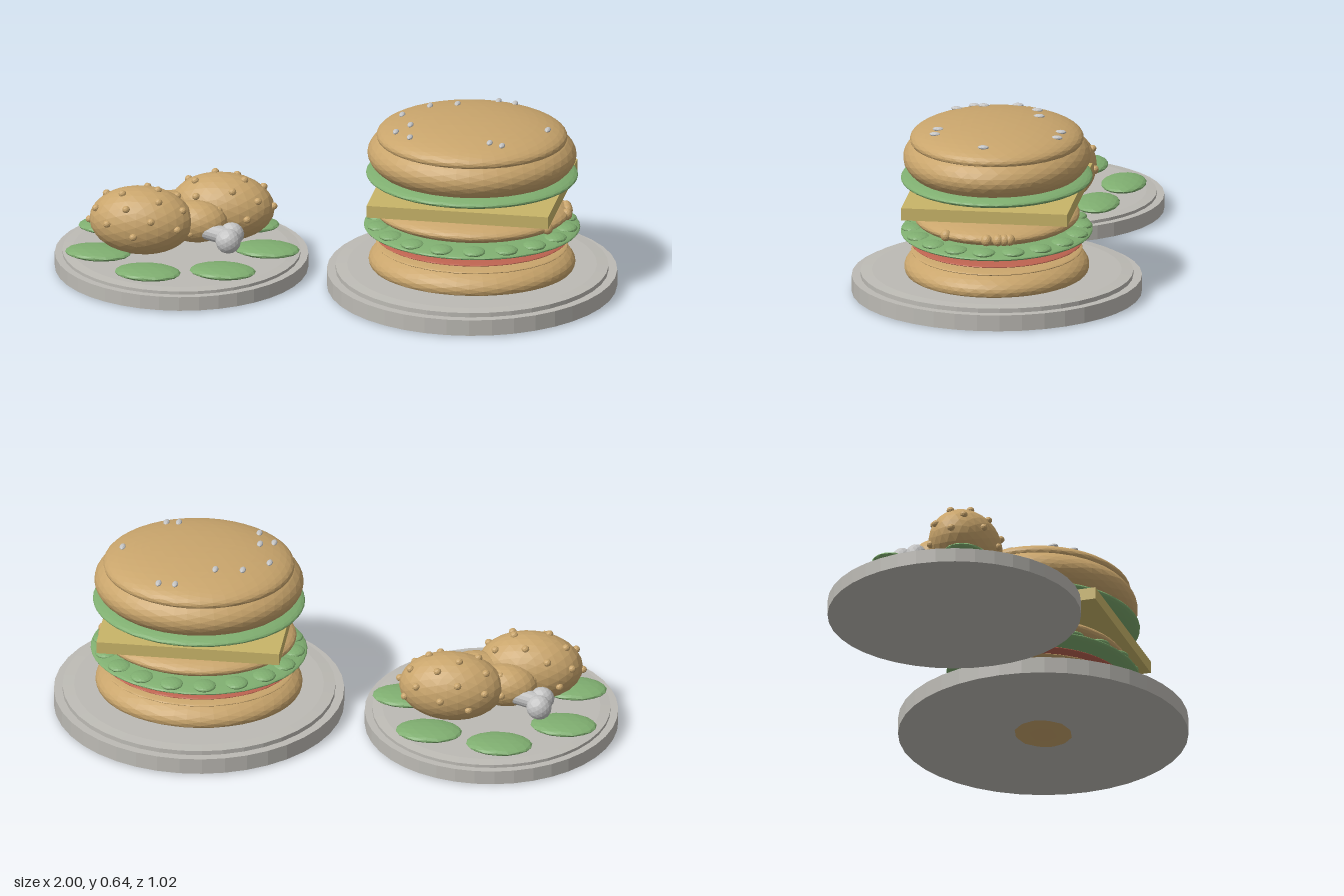
import * as THREE from 'three';

const mat = (name, color) => {
  const m = new THREE.MeshStandardMaterial({ color, flatShading: true });
  m.name = name;
  return m;
};

export function createModel() {
  const root = new THREE.Group();
  root.name = 'mealOnPlates';
  const crust = mat('goldenCrust', 0xc9a56c);
  const green = mat('lettuceGreen', 0x7fae70);
  const yellow = mat('cheeseYellow', 0xc8b468);
  const red = mat('tomatoRed', 0xbd6350);
  const grey = mat('plateGrey', 0xbcbab4);
  const pale = mat('paleGrey', 0xc4c4c4);

  const add = (parent, name, geometry, material, x, y, z) => {
    const mesh = new THREE.Mesh(geometry, material);
    mesh.name = name;
    mesh.position.set(x, y, z);
    parent.add(mesh);
    return mesh;
  };
  // Faceted ellipsoid with the given half sizes
  const blob = (parent, name, material, [x, y, z], [rx, ry, rz], detail = 4) =>
    add(parent, name, new THREE.IcosahedronGeometry(1, detail).scale(rx, ry, rz), material, x, y, z);

  // Round plate with a raised inner disc
  const plate = (parent, name, r, rimY, topY) => {
    const profile = [[0, 0.005], [r, 0.005], [r, rimY], [r * 0.94, rimY], [r * 0.94, topY - 0.004],
      [r * 0.86, topY], [0, topY]].map(([px, py]) => new THREE.Vector2(px, py));
    add(parent, name, new THREE.LatheGeometry(profile, 40), grey, 0, 0, 0);
  };

  // ---- Burger ----
  const burger = new THREE.Group();
  burger.name = 'burger';
  burger.position.x = 0.487;
  root.add(burger);
  plate(burger, 'burgerPlate', 0.512, 0.063, 0.083);

  // Layers: name, material, centre height, half height, x radius, z radius
  [
    ['bottomBun', crust, 0.1, 0.1, 0.366, 0.326],
    ['thinPatty', crust, 0.16, 0.02, 0.34, 0.302],
    ['tomatoSlice', red, 0.188, 0.018, 0.34, 0.302],
    ['lowerLettuce', green, 0.228, 0.03, 0.383, 0.338],
    ['friedFillet', crust, 0.286, 0.058, 0.345, 0.292],
    ['upperLettuce', green, 0.424, 0.04, 0.375, 0.338],
    ['topBun', crust, 0.5, 0.132, 0.37, 0.33],
    ['bunCrown', crust, 0.566, 0.07, 0.338, 0.306],
  ].forEach(([name, m, y, ry, rx, rz]) => blob(burger, name, m, [0, y, 0], [rx, ry, rz], 7));

  add(burger, 'cheeseSlice', new THREE.BoxGeometry(0.65, 0.044, 0.59), yellow, 0, 0.367, 0);

  // Lettuce ruffles
  for (let i = 0; i < 18; i++) {
    const a = (i / 18) * Math.PI * 2;
    blob(burger, 'lettuceRuffle', green, [Math.cos(a) * 0.335, 0.24, Math.sin(a) * 0.295],
      [0.042, 0.014, 0.042], 2);
  }
  // Crumbs on the fillet edge
  [0.14, -0.01, -0.05, -0.072, -0.09].forEach((z) =>
    blob(burger, 'filletCrumb', crust, [0.345 * Math.sqrt(1 - (z / 0.292) ** 2) - 0.008, 0.287, z],
      [0.02, 0.021, 0.02], 2));
  // Seeds resting on the crown
  [[0.54, -0.235], [0.6, -0.23], [0.315, -0.12], [0.41, -0.14], [0.23, -0.04], [0.235, 0.115],
    [0.28, 0.075], [0.295, 0.17], [0.585, 0.195], [0.63, 0.2], [0.76, 0.01]].forEach(([sx, z]) => {
    const x = sx - 0.487;
    const k = Math.max(0, 1 - (x / 0.338) ** 2 - (z / 0.306) ** 2);
    blob(burger, 'seed', pale, [x, 0.568 + 0.07 * Math.sqrt(k), z], [0.011, 0.008, 0.02], 1);
  });

  // ---- Drumstick plate ----
  const side = new THREE.Group();
  side.name = 'drumstickDish';
  side.position.x = -0.553;
  root.add(side);
  plate(side, 'drumstickPlate', 0.447, 0.056, 0.071);

  // Ring of leaves
  for (let i = 0; i < 7; i++) {
    const a = (i / 7) * Math.PI * 2;
    blob(side, 'leaf', green, [Math.cos(a) * 0.305, 0.088, Math.sin(a) * 0.305], [0.118, 0.02, 0.08], 2);
  }

  // Two drumsticks, the second turned half round
  for (let n = 0; n < 2; n++) {
    const leg = new THREE.Group();
    leg.name = 'drumstick';
    leg.position.z = -0.01;
    leg.rotation.y = n * Math.PI;
    side.add(leg);
    const c = [-0.128, 0.2, 0.092];
    const r = [0.186, 0.122, 0.124];
    blob(leg, 'drumstickMeat', crust, c, r, 4);
    blob(leg, 'drumstickNeck', crust, [0.055, 0.188, 0.04], [0.115, 0.075, 0.08], 3);

    // Bone shaft and its two knuckles
    const from = new THREE.Vector3(0.05, 0.182, 0.075);
    const to = new THREE.Vector3(0.185, 0.155, 0.09);
    const dir = to.clone().sub(from);
    const mid = from.clone().add(to).multiplyScalar(0.5);
    const shaft = add(leg, 'bone', new THREE.CylinderGeometry(0.032, 0.032, dir.length(), 16), pale, mid.x, mid.y, mid.z);
    shaft.quaternion.setFromUnitVectors(new THREE.Vector3(0, 1, 0), dir.normalize());
    blob(leg, 'boneKnuckle', pale, [0.187, 0.152, 0.122], [0.045, 0.045, 0.04], 2);
    blob(leg, 'boneKnuckle', pale, [0.19, 0.16, 0.07], [0.045, 0.042, 0.038], 2);

    // Crispy crumbs spread over the meat
    for (let i = 0; i < 22; i++) {
      const h = 0.95 - (i / 22) * 1.3;
      const a = i * 2.4 + n;
      const w = Math.sqrt(1 - h * h);
      blob(leg, 'crumb', crust, [c[0] + r[0] * w * Math.cos(a), c[1] + r[1] * h, c[2] + r[2] * w * Math.sin(a)],
        [0.014, 0.013, 0.014], 1);
    }
  }
  return root;
}
